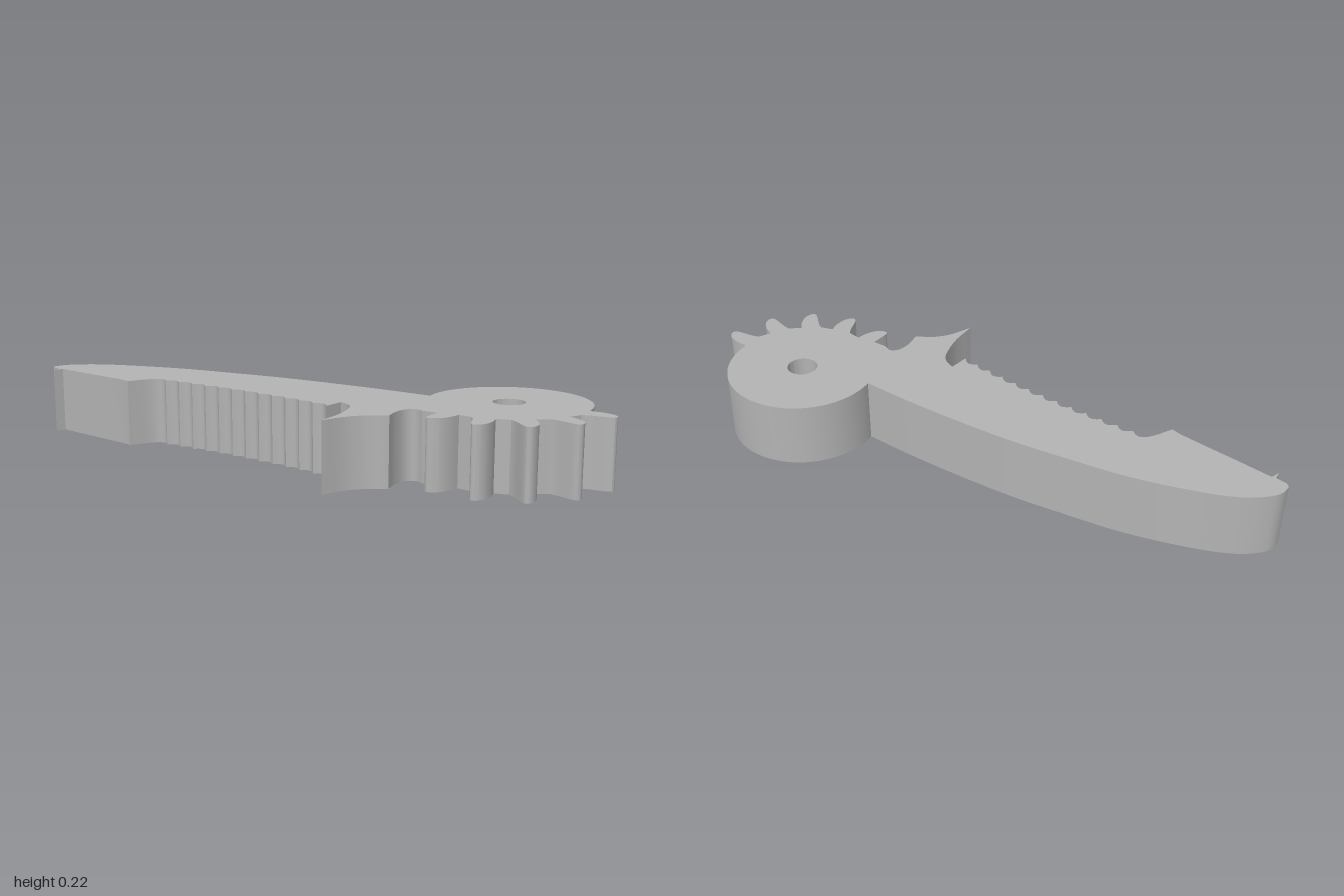
import * as THREE from 'three';
import { toCreasedNormals } from 'three/addons/utils/BufferGeometryUtils.js';

const HEIGHT = 0.225;
const HUB = { x: 0.635, z: -0.163, r: 0.26 };
const BORE = 0.052, RECESS = 0.108, RECESS_DEPTH = 0.05;

const vectors = (list) => list.map(([x, z]) => new THREE.Vector2(x, z));

// Smooth run of points through a few control points
const curve = (list, n) => new THREE.SplineCurve(vectors(list)).getPoints(n);

// Outline seen from above, x and z
function outline() {
  const pts = [];

  // Curved back of the arm, nose to hub
  pts.push(...curve([[-0.985, 0.322], [-1, 0.305], [-0.99, 0.25], [-0.92, 0.178], [-0.8, 0.115],
    [-0.6, 0.042], [-0.4, -0.004], [-0.2, -0.043], [0, -0.068], [0.2, -0.085], [0.385, -0.093]], 60));

  // Round hub, over the top to the first tooth
  const a0 = Math.PI - 0.29, a1 = 2 * Math.PI - 0.15;
  for (let i = 1; i <= 48; i++) {
    const a = a0 + (a1 - a0) * i / 48;
    pts.push(new THREE.Vector2(HUB.x + HUB.r * Math.cos(a), HUB.z + HUB.r * Math.sin(a)));
  }

  // Five gear teeth, as radial and sideways offsets from the hub centre
  const tooth = [[0.265, -0.032], [0.3, -0.035], [0.335, -0.029], [0.357, -0.015], [0.365, 0],
    [0.36, 0.012], [0.335, 0.02], [0.29, 0.03], [0.268, 0.04]];
  for (let k = 0; k < 5; k++) {
    const a = k * 25 * Math.PI / 180, c = Math.cos(a), s = Math.sin(a);
    const profile = curve(k === 4 ? tooth.slice(0, -1) : tooth, 20);
    for (const p of profile) {
      pts.push(new THREE.Vector2(HUB.x + p.x * c - p.y * s, HUB.z + p.x * s + p.y * c));
    }
  }

  // Notch after the last tooth, then the pointed spur
  pts.push(...curve([[0.505, 0.122], [0.472, 0.114], [0.45, 0.14], [0.45, 0.19], [0.465, 0.24]], 14));
  pts.push(...curve([[0.455, 0.25], [0.41, 0.285], [0.375, 0.34], [0.352, 0.418]], 12));
  pts.push(...curve([[0.349, 0.4], [0.335, 0.31], [0.3, 0.22], [0.27, 0.187], [0.23, 0.172]], 14));

  // Scalloped gripping edge
  const scallops = 13, steps = 6, from = 0.23, to = -0.53;
  for (let i = 0; i <= scallops * steps; i++) {
    const t = i / (scallops * steps);
    const sag = 0.232 + 0.028 * Math.pow((t - 0.4) / 0.6, 2);
    pts.push(new THREE.Vector2(from + (to - from) * t,
      sag - 0.018 * Math.abs(Math.sin(Math.PI * t * scallops))));
  }

  // Heel, flat front edge and little spike under the nose
  pts.push(...vectors([[-0.545, 0.29], [-0.565, 0.342], [-0.6, 0.335], [-0.7, 0.331], [-0.8, 0.328],
    [-0.935, 0.322], [-0.943, 0.355], [-0.948, 0.326]]));
  return pts;
}

export function createModel() {
  const model = new THREE.Group();
  model.name = 'toothedLever';
  const grey = new THREE.MeshStandardMaterial({ color: 0xb3b3b3 });
  grey.name = 'grey';

  // Lever plate, standing on y = 0
  const shape = new THREE.Shape(outline());
  shape.holes.push(new THREE.Path().absarc(HUB.x, HUB.z, RECESS, 0, Math.PI * 2, true));
  const plate = new THREE.ExtrudeGeometry(shape, { depth: HEIGHT, bevelEnabled: false, curveSegments: 24 });
  plate.rotateX(Math.PI / 2).translate(0, HEIGHT, 0);
  const lever = new THREE.Mesh(toCreasedNormals(plate, 0.5), grey);
  lever.name = 'lever';
  model.add(lever);

  // Ring that narrows the bore above the recess underneath
  const ringShape = new THREE.Shape().absarc(0, 0, RECESS, 0, Math.PI * 2, false);
  ringShape.holes.push(new THREE.Path().absarc(0, 0, BORE, 0, Math.PI * 2, true));
  const ring = new THREE.ExtrudeGeometry(ringShape,
    { depth: HEIGHT - RECESS_DEPTH, bevelEnabled: false, curveSegments: 24 });
  ring.rotateX(Math.PI / 2).translate(HUB.x, HEIGHT, HUB.z);
  const bore = new THREE.Mesh(toCreasedNormals(ring, 0.5), grey);
  bore.name = 'boreRing';
  model.add(bore);

  return model;
}
